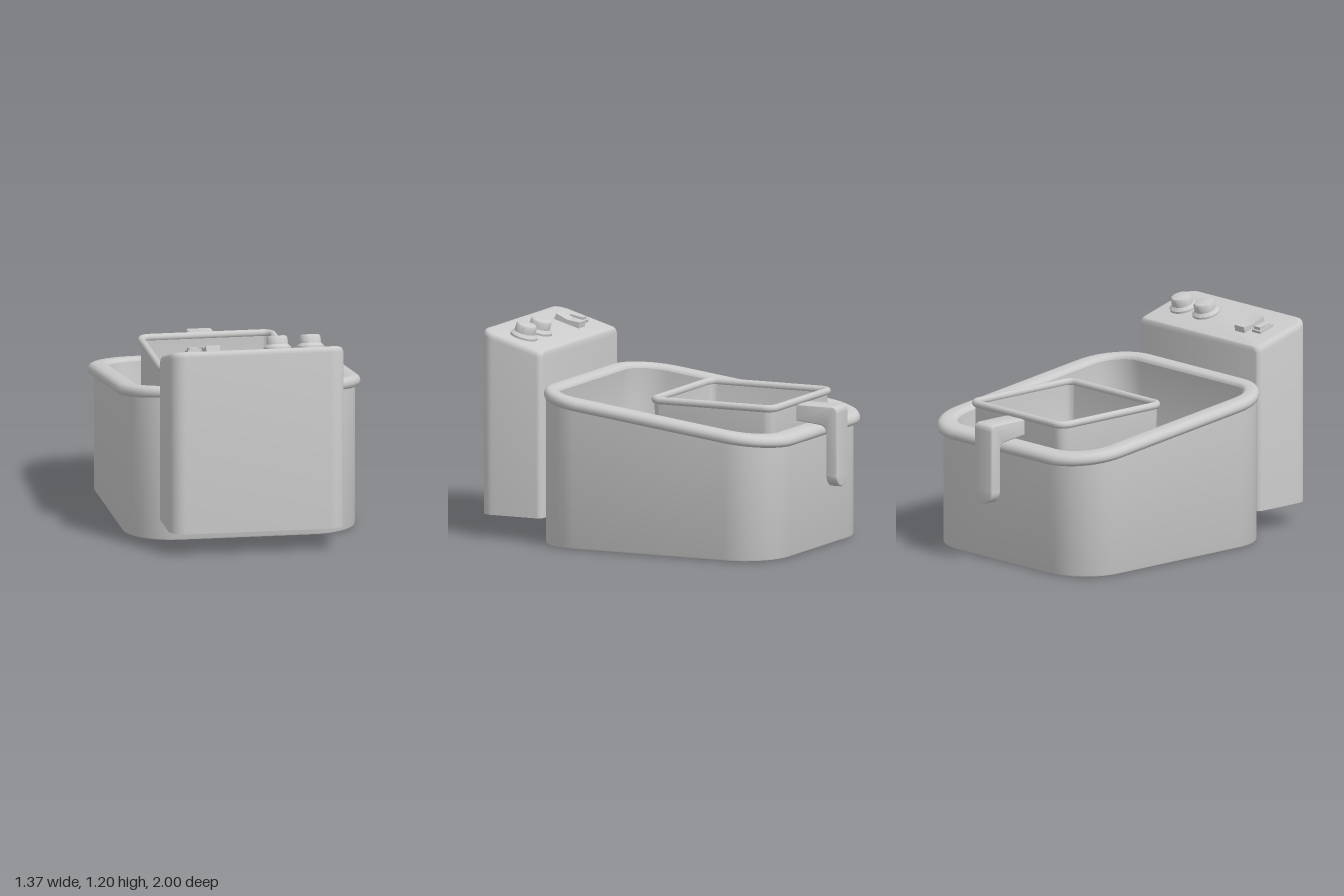
import * as THREE from 'three';
import { toCreasedNormals } from 'three/addons/utils/BufferGeometryUtils.js';

const material = new THREE.MeshStandardMaterial({ color: 0xcccccc, side: THREE.DoubleSide });

// Rounded-rectangle cross-section; y is a number or a function of z
function ring(hw, zBack, zFront, rBack, rFront, y) {
  const points = [];
  const n = 12;
  const corners = [[1, -1, rBack], [-1, -1, rBack], [-1, 1, rFront], [1, 1, rFront]];
  corners.forEach(([sx, sz, r], k) => {
    const cx = sx * (hw - r);
    const cz = sz < 0 ? zBack + r : zFront - r;
    for (let i = 0; i <= n; i++) {
      const a = (k + i / n) * Math.PI / 2;
      const z = cz - r * Math.sin(a);
      points.push(new THREE.Vector3(cx + r * Math.cos(a), typeof y === 'function' ? y(z) : y, z));
    }
  });
  return points;
}

// Skin a stack of cross-sections, optionally closing the first and last one
function loft(rings, capStart, capEnd, crease = 0.6) {
  const pos = [];
  const tri = (...ps) => ps.forEach((p) => pos.push(p.x, p.y, p.z));
  const n = rings[0].length;
  const fan = (r, up) => {
    const c = r.reduce((s, p) => s.add(p), new THREE.Vector3()).divideScalar(n);
    r.forEach((p, i) => {
      const q = r[(i + 1) % n];
      if (up) tri(c, p, q); else tri(c, q, p);
    });
  };
  if (capStart) fan(rings[0], false);
  for (let k = 0; k + 1 < rings.length; k++) {
    for (let i = 0; i < n; i++) {
      const j = (i + 1) % n;
      tri(rings[k][i], rings[k][j], rings[k + 1][j]);
      tri(rings[k][i], rings[k + 1][j], rings[k + 1][i]);
    }
  }
  if (capEnd) fan(rings[rings.length - 1], true);
  const g = new THREE.BufferGeometry();
  g.setAttribute('position', new THREE.Float32BufferAttribute(pos, 3));
  return toCreasedNormals(g, crease);
}

function add(parent, name, geometry, x = 0, y = 0, z = 0) {
  const mesh = new THREE.Mesh(geometry, material);
  mesh.name = name;
  mesh.position.set(x, y, z);
  parent.add(mesh);
  return mesh;
}

// Sloping plane of the tub's top
const rimTop = (drop) => (z) => 0.8 + 0.124 * z - drop;

function addTub(g) {
  const wall = (inset, y) => ring(0.65 - inset, -0.85 + inset, 0.61 - inset, 0.27 - inset, 0.27 - inset, y);
  add(g, 'tubBody', loft([wall(0.01, 0), wall(0.003, 0.004), wall(0, 0.012), wall(0, rimTop(0.05))], true, false));

  // Rounded lip: inset from the outer edge and drop below the sloping plane
  const lip = (inset, drop) => ring(0.685 - inset, -0.89 + inset, 0.62 - inset * 0.8,
    0.31 - inset, 0.31 - inset * 1.2, rimTop(drop));
  const section = [[0.05, 0.065], [0.02, 0.063], [0.006, 0.053], [0, 0.038], [0.003, 0.022], [0.013, 0.008],
    [0.03, 0.001], [0.05, 0], [0.085, 0], [0.1, 0.003], [0.11, 0.01], [0.115, 0.022]];
  add(g, 'tubRim', loft(section.map(([i, d]) => lip(i, d)), false, false, 0.9));

  // Inner pan, sunk at right angles to the sloping rim
  const pan = (inset, depth) => {
    const s = depth * 0.124;
    return ring(0.57 - inset, -0.775 + inset + s, 0.528 - inset + s, 0.2 - inset, 0.18 - inset, rimTop(depth));
  };
  add(g, 'innerPan', loft([pan(0, 0.022), pan(0, 0.47), pan(0.01, 0.49), pan(0.03, 0.5)], false, true));
}

function addBasket(g) {
  const b = (inset, y) => {
    const r = Math.max(0.075 - inset, 0.02);
    return ring(0.39 - inset, -0.765 + inset, 0.015 - inset, r, r, y);
  };
  // Outer skin, then inner skin with a rounded bottom
  add(g, 'basketWall', loft([b(0.06, 0.35), b(0.035, 0.36), b(0.022, 0.39), b(0.018, 0.82)], true, false));
  add(g, 'basketInside', loft([b(0.034, 0.82), b(0.04, 0.48), b(0.055, 0.42), b(0.09, 0.38), b(0.14, 0.37)], false, true, 0.9));
  // Rolled rim
  const roll = [];
  for (let i = 0; i <= 12; i++) {
    const a = (i / 12) * Math.PI * 2;
    roll.push(b(0.02 - 0.02 * Math.cos(a), 0.822 + 0.021 * Math.sin(a)));
  }
  add(g, 'basketRim', loft(roll, false, false, 1));
}

function addHandle(g) {
  // Side profile (u = -z) swept across the width
  const s = new THREE.Shape();
  s.moveTo(0.745, 0.715);
  s.lineTo(0.89, 0.7);
  s.quadraticCurveTo(0.93, 0.695, 0.93, 0.65);
  s.lineTo(0.93, 0.425);
  s.lineTo(0.998, 0.425);
  s.lineTo(0.998, 0.77);
  s.quadraticCurveTo(0.998, 0.807, 0.96, 0.807);
  s.lineTo(0.745, 0.807);
  const bevel = 0.008;
  const arm = new THREE.ExtrudeGeometry(s, {
    depth: 0.14 - 2 * bevel, bevelThickness: bevel, bevelSize: bevel, bevelOffset: -bevel, bevelSegments: 3, curveSegments: 10,
  });
  arm.translate(0, 0, -0.07 + bevel);
  arm.rotateY(Math.PI / 2);
  add(g, 'handleArm', toCreasedNormals(arm, 0.6));

  // Rounded lower end of the grip
  const end = new THREE.Shape();
  end.absarc(0, 0, 0.07, Math.PI, Math.PI * 2);
  end.lineTo(0.07, 0.015);
  end.lineTo(-0.07, 0.015);
  const tip = new THREE.ExtrudeGeometry(end, {
    depth: 0.068 - 2 * bevel, bevelThickness: bevel, bevelSize: bevel, bevelOffset: -bevel, bevelSegments: 3, curveSegments: 24,
  });
  add(g, 'handleTip', toCreasedNormals(tip, 0.6), 0, 0.425, -0.998 + bevel);
}

function addControlBox(g) {
  const slope = 0.286;
  const top = (drop) => (z) => 1.06 + slope * (z - 0.615) - drop;
  const box = (inset, y) => ring(0.49 - inset, 0.615 + inset * 0.3, 1 - inset, 0.03, 0.085 - inset, y);
  add(g, 'controlBox', loft([box(0, 0.13), box(0, top(0.035)), box(0.003, top(0.021)), box(0.01, top(0.009)),
    box(0.02, top(0.002)), box(0.035, top(0))], true, true));

  // Controls sit square on the sloping top
  const panel = new THREE.Group();
  panel.name = 'controls';
  panel.position.set(0, top(0)(0.8), 0.8);
  panel.rotation.x = -Math.atan(slope);
  g.add(panel);

  const profile = [[0, 0], [0.077, 0], [0.077, 0.012], [0.062, 0.026], [0.06, 0.028], [0.059, 0.064],
    [0.053, 0.073], [0.043, 0.076], [0, 0.076]].map(([x, y]) => new THREE.Vector2(x, y));
  for (const x of [0.14, 0.325]) {
    add(panel, 'knob', toCreasedNormals(new THREE.LatheGeometry(profile, 40), 0.6), x, 0, 0.003);
  }

  add(panel, 'switchBase', new THREE.BoxGeometry(0.068, 0.02, 0.1), -0.333, 0.006, -0.006);
  add(panel, 'switchKey', new THREE.BoxGeometry(0.05, 0.024, 0.08), -0.333, 0.016, -0.006).rotation.x = 0.12;
  for (const side of [-1, 1]) {
    const key = add(panel, 'rockerHalf', new THREE.BoxGeometry(0.078, 0.034, 0.076), -0.23, 0.012, -0.008 + side * 0.039);
    key.rotation.x = side * -0.15;
  }
}

export function createModel() {
  const g = new THREE.Group();
  g.name = 'deepFryer';
  addTub(g);
  addBasket(g);
  addHandle(g);
  addControlBox(g);
  return g;
}
